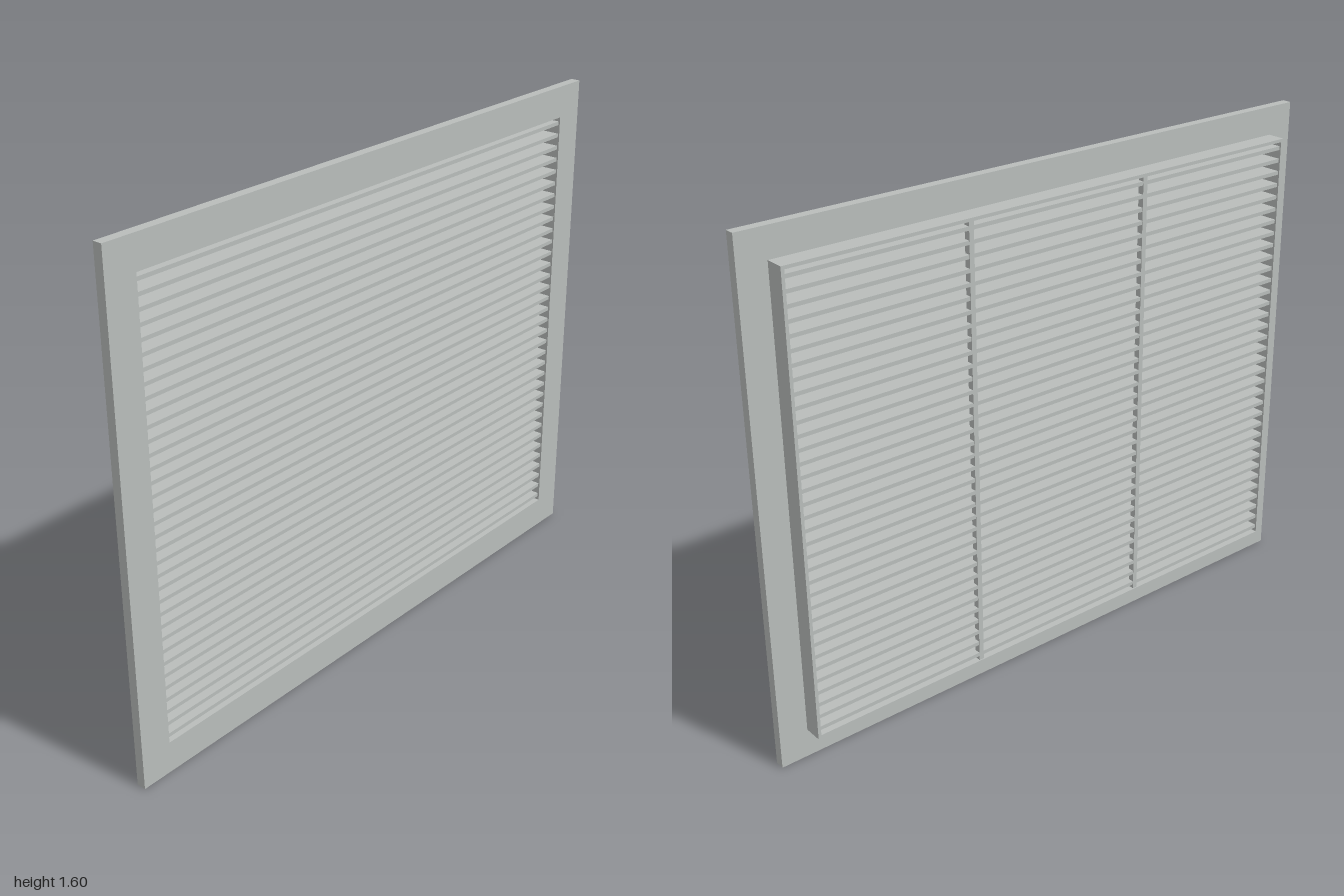
import * as THREE from 'three';

export function createModel() {
  const model = new THREE.Group();
  model.name = 'ventGrille';
  const metal = new THREE.MeshStandardMaterial({ color: 0xb9bdbb });
  metal.name = 'greyMetal';
  const midY = 0.8;

  function add(name, geometry, x, y, z) {
    const mesh = new THREE.Mesh(geometry, metal);
    mesh.name = name;
    mesh.position.set(x, y, z);
    model.add(mesh);
  }

  function rectangle(path, w, h) {
    path.moveTo(-w / 2, -h / 2);
    path.lineTo(w / 2, -h / 2);
    path.lineTo(w / 2, h / 2);
    path.lineTo(-w / 2, h / 2);
    path.closePath();
    return path;
  }

  // Rectangular ring with a 1.8 x 1.4 opening
  function ring(w, h, depth) {
    const shape = rectangle(new THREE.Shape(), w, h);
    shape.holes.push(rectangle(new THREE.Path(), 1.8, 1.4));
    return new THREE.ExtrudeGeometry(shape, { depth, bevelEnabled: false });
  }

  // Wide front flange and the thin collar behind it
  add('flange', ring(2, 1.6, 0.03), 0, midY, 0.015);
  add('collar', ring(1.82, 1.42, 0.06), 0, midY, -0.045);

  // Horizontal louvre slats
  const slat = new THREE.BoxGeometry(1.8, 0.012, 0.08);
  for (let i = 0; i < 35; i++) add('slat', slat, 0, 0.12 + i * 0.04, 0);

  // Upright support bars at the rear of the slats
  const bar = new THREE.BoxGeometry(0.016, 1.4, 0.02);
  for (const side of [-1, 1]) add('supportBar', bar, side * 0.32, midY, -0.031);

  return model;
}
